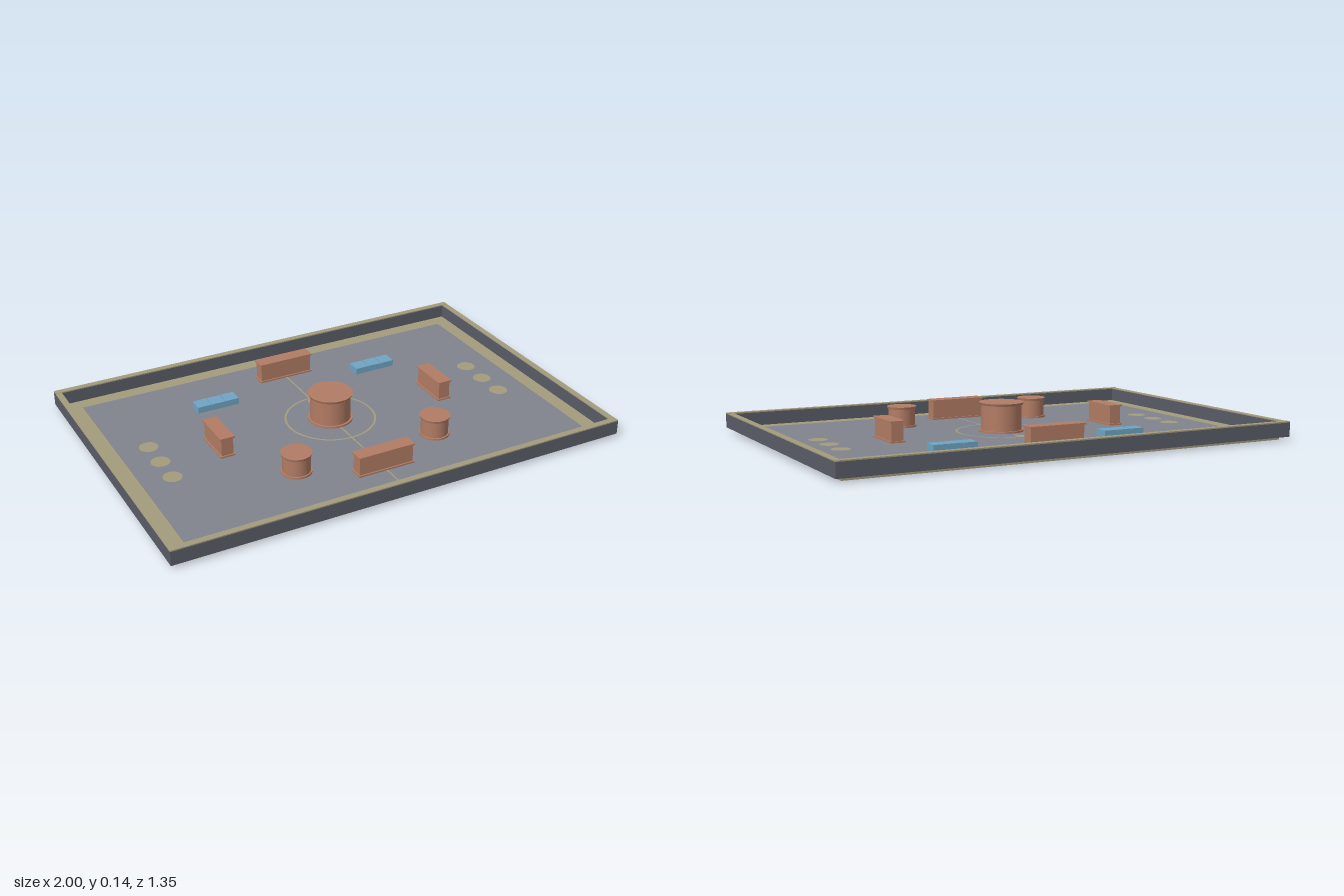
import * as THREE from 'three';

const mat = (name, color) => {
  const m = new THREE.MeshStandardMaterial({ color });
  m.name = name;
  return m;
};

export function createModel() {
  const sand = mat('sand', 0xa39b7c);
  const floorGrey = mat('floorGrey', 0x80848d);
  const wallGrey = mat('wallGrey', 0x5a5d67);
  const clay = mat('clay', 0xb27c64);
  const blue = mat('blue', 0x6fa5c4);

  const model = new THREE.Group();
  model.name = 'arena';

  const add = (parent, name, geometry, material, x, y, z) => {
    const mesh = new THREE.Mesh(geometry, material);
    mesh.name = name;
    mesh.position.set(x, y, z);
    parent.add(mesh);
    return mesh;
  };
  // Box given by its bottom and top heights
  const box = (parent, name, material, w, d, y0, y1, x = 0, z = 0) =>
    add(parent, name, new THREE.BoxGeometry(w, y1 - y0, d), material, x, (y0 + y1) / 2, z);
  const disc = (parent, name, material, r0, r1, y0, y1, x = 0, z = 0) =>
    add(parent, name, new THREE.CylinderGeometry(r1, r0, y1 - y0, 32), material, x, (y0 + y1) / 2, z);

  const FLOOR = 0.02;

  // Ground slab with the playing floor set into it
  box(model, 'groundSlab', sand, 1.94, 1.29, 0.001, 0.019);
  box(model, 'playingFloor', floorGrey, 1.81, 1.16, 0, FLOOR);

  // Perimeter walls with thin copings
  for (const s of [-1, 1]) {
    box(model, 'longWall', wallGrey, 2, 0.027, 0.015, 0.075, 0, s * 0.6615);
    box(model, 'longCoping', sand, 2, 0.027, 0.075, 0.08, 0, s * 0.6615);
    box(model, 'endWall', wallGrey, 0.027, 1.296, 0.015, 0.075, s * 0.9865, 0);
    box(model, 'endCoping', sand, 0.027, 1.296, 0.075, 0.079, s * 0.9865, 0);
  }

  // Floor markings
  const mark = (name, geometry, x, z) => {
    const m = add(model, name, geometry, sand, x, FLOOR + 0.0015, z);
    m.rotation.x = -Math.PI / 2;
  };
  mark('centreLine', new THREE.PlaneGeometry(0.007, 1.16), 0, 0);
  mark('centreRing', new THREE.RingGeometry(0.187, 0.196, 64), 0, 0);
  mark('centreSpot', new THREE.CircleGeometry(0.021, 24), 0, -0.165);
  for (const x of [-0.775, 0.775])
    for (const z of [-0.13, 0, 0.13]) mark('startSpot', new THREE.CircleGeometry(0.04, 32), x, z);

  // Round pillars: foot, shaft and flared cap
  const pillar = (name, x, z, r, top) => {
    const g = new THREE.Group();
    g.name = name;
    g.position.set(x, 0, z);
    model.add(g);
    disc(g, 'foot', clay, r, r, FLOOR, FLOOR + 0.008);
    disc(g, 'shaft', clay, r * 0.9, r * 0.9, FLOOR, top - 0.01);
    disc(g, 'cap', clay, r * 0.96, r, top - 0.01, top);
  };
  pillar('centrePillar', 0, 0, 0.096, 0.145);
  pillar('leftPillar', 0.322, 0.32, 0.064, 0.109);
  pillar('rightPillar', -0.322, 0.32, 0.064, 0.109);

  // Straight barriers: foot, body and overhanging cap
  const barrier = (name, x, z, w, d) => {
    const g = new THREE.Group();
    g.name = name;
    g.position.set(x, 0, z);
    model.add(g);
    box(g, 'foot', clay, w, d, FLOOR, FLOOR + 0.007);
    box(g, 'body', clay, w - 0.012, d - 0.012, FLOOR, 0.102);
    box(g, 'cap', clay, w, d, 0.102, 0.109);
  };
  for (const s of [-1, 1]) {
    barrier('longBarrier', 0, s * 0.452, 0.254, 0.064);
    barrier('sideBarrier', s * 0.517, 0, 0.064, 0.186);
  }

  // Low blue benches, each with three blocks on a shared base
  for (const s of [-1, 1]) {
    const g = new THREE.Group();
    g.name = 'bench';
    g.position.set(s * 0.388, 0, -0.328);
    model.add(g);
    box(g, 'benchBase', blue, 0.19, 0.064, FLOOR, 0.043);
    for (const i of [-1, 0, 1]) box(g, 'benchBlock', blue, 0.061, 0.064, 0.043, 0.048, i * 0.0645, 0);
  }

  return model;
}
